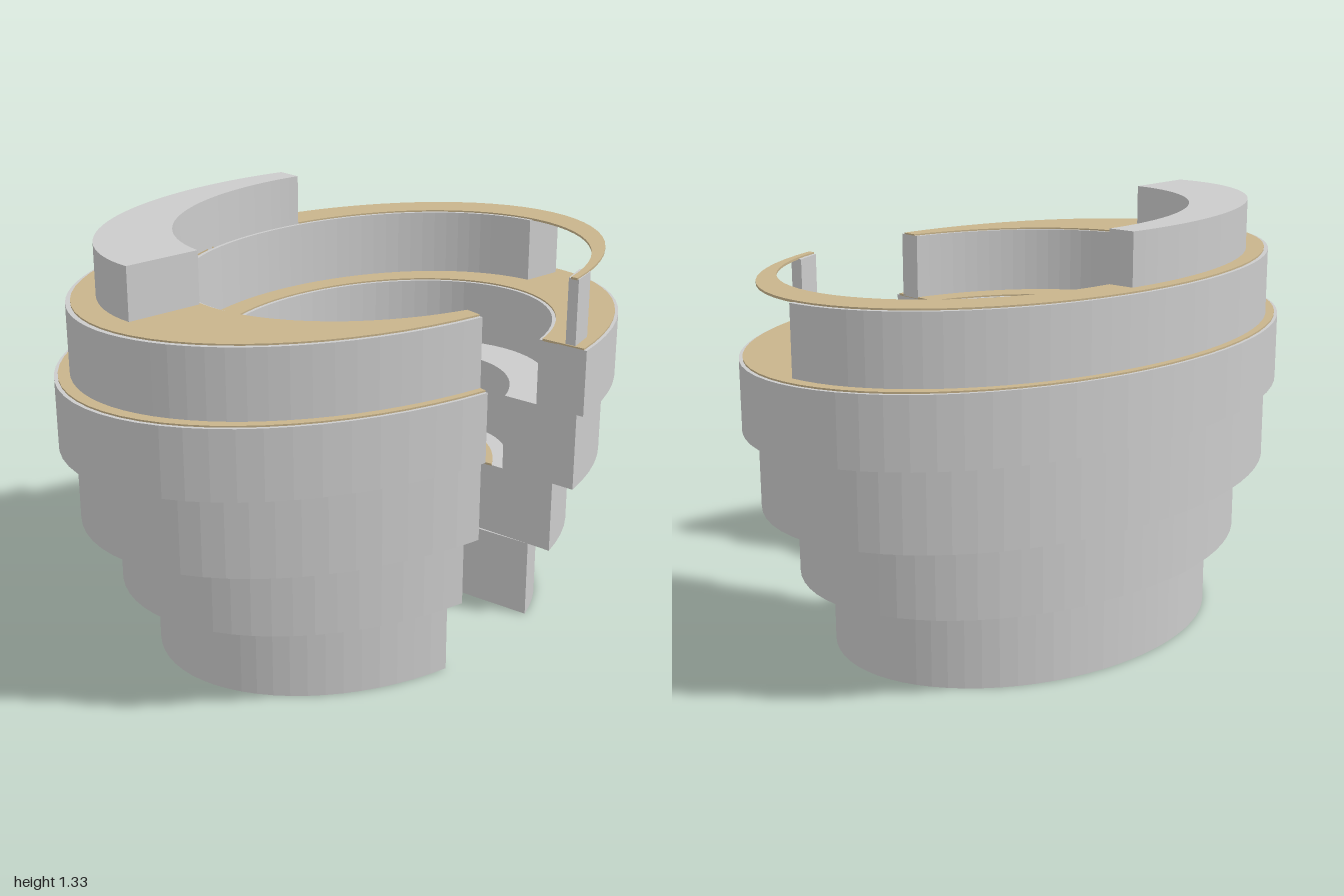
import * as THREE from 'three';

const grey = new THREE.MeshStandardMaterial({ color: 0xcccccc, flatShading: true });
const tan = new THREE.MeshStandardMaterial({ color: 0xc8b48c, flatShading: true });
const blue = new THREE.MeshStandardMaterial({ color: 0x9cc0c8, flatShading: true });

// Ellipses in plan: the shell is centred, the well inside it is offset
const outer = (rx, rz) => ({ cx: 0, cz: 0, rx, rz });
const well = (rx, rz) => ({ cx: 0.11, cz: 0.05, rx, rz });

// Sides of the front opening, as x for a given z
const cutLeft = (z) => -0.03 - 0.09 * z;
const cutRight = (z) => 0.3 + 0.15 * z;

// Angle at which the front half of an ellipse meets a side of the opening
function cutAngle(e, cut) {
  let t = Math.PI / 2;
  for (let i = 0; i < 8; i++) {
    const c = (cut(e.cz + e.rz * Math.sin(t)) - e.cx) / e.rx;
    t = Math.acos(THREE.MathUtils.clamp(c, -1, 1));
  }
  return t;
}

function arc(e, t0, t1, n = 64) {
  return Array.from({ length: n + 1 }, (_, i) => {
    const t = t0 + ((t1 - t0) * i) / n;
    return [e.cx + e.rx * Math.cos(t), e.cz + e.rz * Math.sin(t)];
  });
}

// Upright slab from an outline of [x, z] points
function slab(name, points, y0, y1, material) {
  const shape = new THREE.Shape(points.map(([x, z]) => new THREE.Vector2(x, -z)));
  const geo = new THREE.ExtrudeGeometry(shape, { depth: y1 - y0, bevelEnabled: false });
  geo.rotateX(-Math.PI / 2).translate(0, y0, 0);
  const mesh = new THREE.Mesh(geo, material);
  mesh.name = name;
  return mesh;
}

// C-shaped ring running from the opening's left side round the back
function openRing(name, o, w, y0, y1, material, endO, endW) {
  const full = Math.PI * 2;
  const a = arc(o, cutAngle(o, cutLeft), endO ?? full + cutAngle(o, cutRight));
  const b = arc(w, cutAngle(w, cutLeft), endW ?? full + cutAngle(w, cutRight));
  return slab(name, [...a, ...b.reverse()], y0, y1, material);
}

export function createModel() {
  const model = new THREE.Group();

  // Stacked storeys, each wider than the one below
  const storeys = [
    [outer(0.687, 0.52), well(0.18, 0.15), 0, 0.255],
    [outer(0.81, 0.588), well(0.3, 0.25), 0.255, 0.49],
    [outer(0.94, 0.653), well(0.43, 0.34), 0.49, 0.74],
    [outer(1, 0.672), well(0.58, 0.445), 0.74, 0.953],
  ];
  storeys.forEach(([o, w, y0, y1], i) => model.add(openRing(`storey${i + 1}`, o, w, y0, y1, grey)));

  // Top storey stops halfway along the left side, leaving an open terrace
  model.add(openRing('topStorey', outer(0.95, 0.64), well(0.7, 0.53), 0.953, 1.167, grey,
    Math.PI * 2, Math.PI * 2 - 0.095));

  // Thin floor finishes
  model.add(openRing('lowerFloor', outer(0.5, 0.4), well(0.31, 0.26), 0.487, 0.494, tan));
  model.add(openRing('terraceFloor', outer(0.988, 0.662), well(0.592, 0.457), 0.951, 0.958, tan));
  model.add(openRing('roofFloor', outer(0.935, 0.628), well(0.712, 0.542), 1.165, 1.172, tan));

  // Square floor of the well
  model.add(slab('wellFloor', [[-0.12, -0.145], [0.345, -0.145], [0.345, 0.245], [-0.12, 0.245]],
    0.238, 0.258, tan));

  // Post carrying the free end of the roof
  model.add(slab('roofPost', [[0.385, 0.54], [0.48, 0.5], [0.485, 0.54], [0.39, 0.575]], 0.953, 1.167, grey));

  // Crescent penthouse
  const pentOuter = arc(outer(0.852, 0.585), Math.PI - 0.06, 4.935, 32);
  const pentInner = arc(well(0.72, 0.54), Math.PI + 0.03, 4.823, 32);
  model.add(slab('penthouse', [...pentOuter, ...pentInner.reverse()], 1.167, 1.33, grey));

  // Small platforms projecting from the well walls
  const westEdge = arc(well(0.58, 0.445), Math.PI + 0.09, Math.PI + 0.55, 8);
  model.add(slab('rightPlatform', [[-0.36, 0.015], ...westEdge, [-0.36, -0.18]], 0.83, 0.9, blue));
  const eastEdge = arc(well(0.43, 0.34), -0.99, -0.37, 8);
  model.add(slab('leftPlatform', [[0.345, -0.02], ...eastEdge, [0.51, -0.015]], 0.58, 0.65, blue));

  return model;
}
